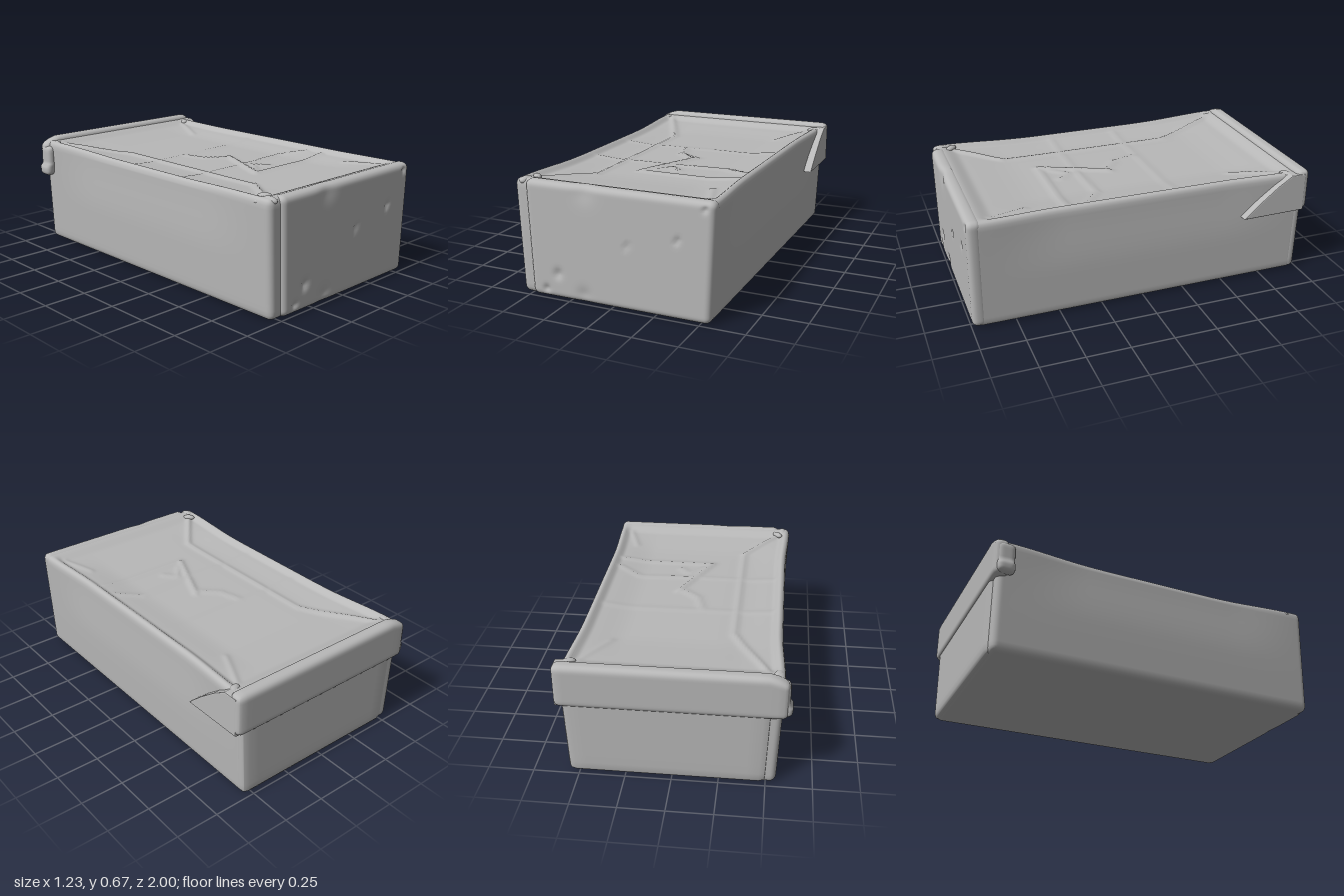
import * as THREE from 'three';
import { mergeVertices } from 'three/addons/utils/BufferGeometryUtils.js';

const smooth = (a, b, v) => THREE.MathUtils.smoothstep(v, a, b);

// Rounded box between two corners; the rule then moves each vertex
function softBox(min, max, r, segs, rule) {
  const geo = new THREE.BoxGeometry(2, 2, 2, ...segs);
  geo.deleteAttribute('uv');
  geo.deleteAttribute('normal');
  const pos = geo.attributes.position;
  const half = max.map((m, i) => (m - min[i]) / 2);
  const mid = max.map((m, i) => (m + min[i]) / 2);
  const p = new THREE.Vector3(), inner = new THREE.Vector3();
  // rows crowd towards the edges so the rounding stays smooth
  const spread = (t) => 0.3 * t + 0.7 * Math.sin(t * Math.PI / 2);
  for (let i = 0; i < pos.count; i++) {
    p.fromBufferAttribute(pos, i);
    p.set(spread(p.x) * half[0], spread(p.y) * half[1], spread(p.z) * half[2]);
    inner.set(...p.toArray().map((v, k) => THREE.MathUtils.clamp(v, r - half[k], half[k] - r)));
    p.sub(inner);
    if (p.lengthSq() > 0) p.setLength(r);
    p.add(inner).add(new THREE.Vector3(...mid));
    if (rule) rule(p);
    pos.setXYZ(i, p.x, p.y, p.z);
  }
  const merged = mergeVertices(geo, 1e-5);
  merged.computeVertexNormals();
  return merged;
}

// Distance in the plane from a point to a fold line
function lineDistance(x, z, [ax, az, bx, bz]) {
  const dx = bx - ax, dz = bz - az;
  const t = THREE.MathUtils.clamp(((x - ax) * dx + (z - az) * dz) / (dx * dx + dz * dz), 0, 1);
  return Math.hypot(x - ax - t * dx, z - az - t * dz);
}

// Walls lean outwards and bow in slightly along the upper middle
function lean(p) {
  const up = p.y / 0.65;
  p.x *= 0.955 + 0.045 * up;
  p.x *= 1 - 0.035 * smooth(0.4, 1, up) * (1 - smooth(0.45, 0.95, Math.abs(p.z)));
}

// Folds in the top sheet: x, z to x, z, then height
const folds = [
  [-0.51, -0.19, 0.5, -0.2, 0.005], [-0.51, 0.23, 0.0, 0.23, 0.005],
  [0.0, 0.23, 0.35, 0.21, 0.008], [0.35, 0.21, 0.5, 0.31, 0.008],
  [-0.09, -0.18, -0.05, -0.04, 0.008], [-0.05, -0.04, 0.05, 0.05, 0.01],
  [0.08, 0.04, -0.1, 0.43, 0.014], [-0.1, 0.43, 0.5, 0.43, 0.01],
  [-0.05, 0.38, 0.04, 0.28, 0.008], [0.04, 0.28, 0.1, 0.35, 0.008],
  [-0.3, -0.45, -0.3, 0.6, 0.01], [-0.3, 0.6, -0.5, 0.87, 0.014],
  [-0.3, -0.45, -0.5, -0.88, 0.012], [0.5, -0.85, 0.38, -0.6, 0.007],
  [0.44, 0.65, 0.5, 0.85, 0.007],
];

function bodyRule(p) {
  if (p.y > 0.6) {
    const { x, z } = p;
    const inside = smooth(0, 0.05, 0.555 - Math.abs(x)) * smooth(0, 0.1, 0.93 - Math.abs(z));
    const sag = 0.025 + 0.022 * smooth(0, 0.25, 0.555 - Math.abs(x)) * smooth(0, 0.4, 0.93 - Math.abs(z));
    let rise = 0;
    for (const f of folds) {
      const d = lineDistance(x, z, f) / 0.018;
      rise = Math.max(rise, f[4] * Math.exp(-d * d));
    }
    p.y += inside * (rise - sag);
    // the right-hand edge of the walls droops a little on the left side
    p.y -= 0.015 * smooth(0.2, 0.6, -x) * (1 - smooth(0.3, 0.9, Math.abs(z)));
  }
  lean(p);
}

// Dents in the front sheet: x, y, radius, depth
const dents = [
  [0.1, 0.36, 0.014, 0.012], [0.385, 0.43, 0.016, 0.014], [-0.33, 0.145, 0.025, 0.015],
  [-0.41, 0.05, 0.02, 0.014], [0.53, 0.61, 0.016, 0.012], [-0.15, 0.625, 0.06, 0.01],
  [-0.17, 0.05, 0.04, 0.01],
];

function frontRule(p) {
  if (p.z > 0.94) {
    for (const [x, y, r, depth] of dents) {
      const d = Math.hypot(p.x - x, p.y - y) / r;
      p.z -= depth * Math.exp(-d * d);
    }
  }
  lean(p);
}

export function createModel() {
  const group = new THREE.Group();
  const grey = new THREE.MeshStandardMaterial({ color: 0xb8b8b8 });
  grey.name = 'plain grey';
  const add = (name, geometry) => {
    const mesh = new THREE.Mesh(geometry, grey);
    mesh.name = name;
    group.add(mesh);
    return mesh;
  };

  // Main box with the sunken, creased top sheet
  add('body', softBox([-0.58, 0, -0.975], [0.58, 0.645, 0.975], 0.035, [84, 20, 130], bodyRule));

  // Folded-over end sheets
  add('frontPanel', softBox([-0.505, 0.004, 0.91], [0.582, 0.65, 0.995], 0.035, [80, 44, 10], frontRule));
  add('backPanel', softBox([-0.525, 0.004, -0.988], [0.582, 0.64, -0.92], 0.033, [12, 12, 8], lean));

  // Flap folded over the back end
  add('backFlap', softBox([-0.6, 0.42, -1], [0.612, 0.668, -0.915], 0.034, [20, 20, 16], (p) => {
    if (p.x < -0.45) p.y -= 0.03 * smooth(0.5, 0.6, -p.x) * smooth(0.5, 0.66, p.y);
  }));
  add('leftFlapFold', softBox([-0.622, 0.43, -0.985], [-0.56, 0.615, -0.885], 0.028, [10, 14, 12], (p) => {
    p.x += 0.015 * smooth(0.5, 0.43, p.y);
  }));

  // Pointed corner of the flap wrapped onto the right wall
  const outline = new THREE.Shape([
    [0.965, 0.64], [0.885, 0.64], [0.8, 0.585], [0.7, 0.505], [0.615, 0.43], [0.6, 0.418], [0.965, 0.425],
  ].map(([a, b]) => new THREE.Vector2(a, b)));
  const wing = new THREE.ExtrudeGeometry(outline, {
    depth: 0.05, bevelEnabled: true, bevelSize: 0.006, bevelThickness: 0.006, bevelSegments: 2,
  });
  wing.rotateY(Math.PI / 2).translate(0.557, 0, 0);
  add('rightFlapPoint', wing);

  // Crumpled sheet ends gathered at the corners
  const crumples = [
    [-0.53, 0.63, 0.93, 0.035], [-0.5, 0.635, 0.87, 0.028], [-0.545, 0.62, 0.88, 0.025],
    [0.545, 0.63, -0.88, 0.032], [-0.54, 0.63, -0.89, 0.03],
  ];
  crumples.forEach(([x, y, z, r], i) => {
    const mesh = add('cornerCrumple', new THREE.SphereGeometry(r, 14, 10));
    mesh.scale.set(0.8, 0.6, 1.4);
    mesh.rotation.y = i * 0.7;
    mesh.position.set(x, y, z);
  });

  // Rolled hems along the long top edges
  for (const side of [-1, 1]) {
    const path = new THREE.CatmullRomCurve3([-0.9, -0.45, 0, 0.45, 0.9].map((z) => {
      const bow = 1 - smooth(0.45, 0.95, Math.abs(z));
      return new THREE.Vector3(side * (0.548 - 0.018 * bow), 0.624 - (side < 0 ? 0.015 * bow : 0), z);
    }));
    add(side < 0 ? 'leftHem' : 'rightHem', new THREE.TubeGeometry(path, 40, 0.018, 10));
  }
  return group;
}
